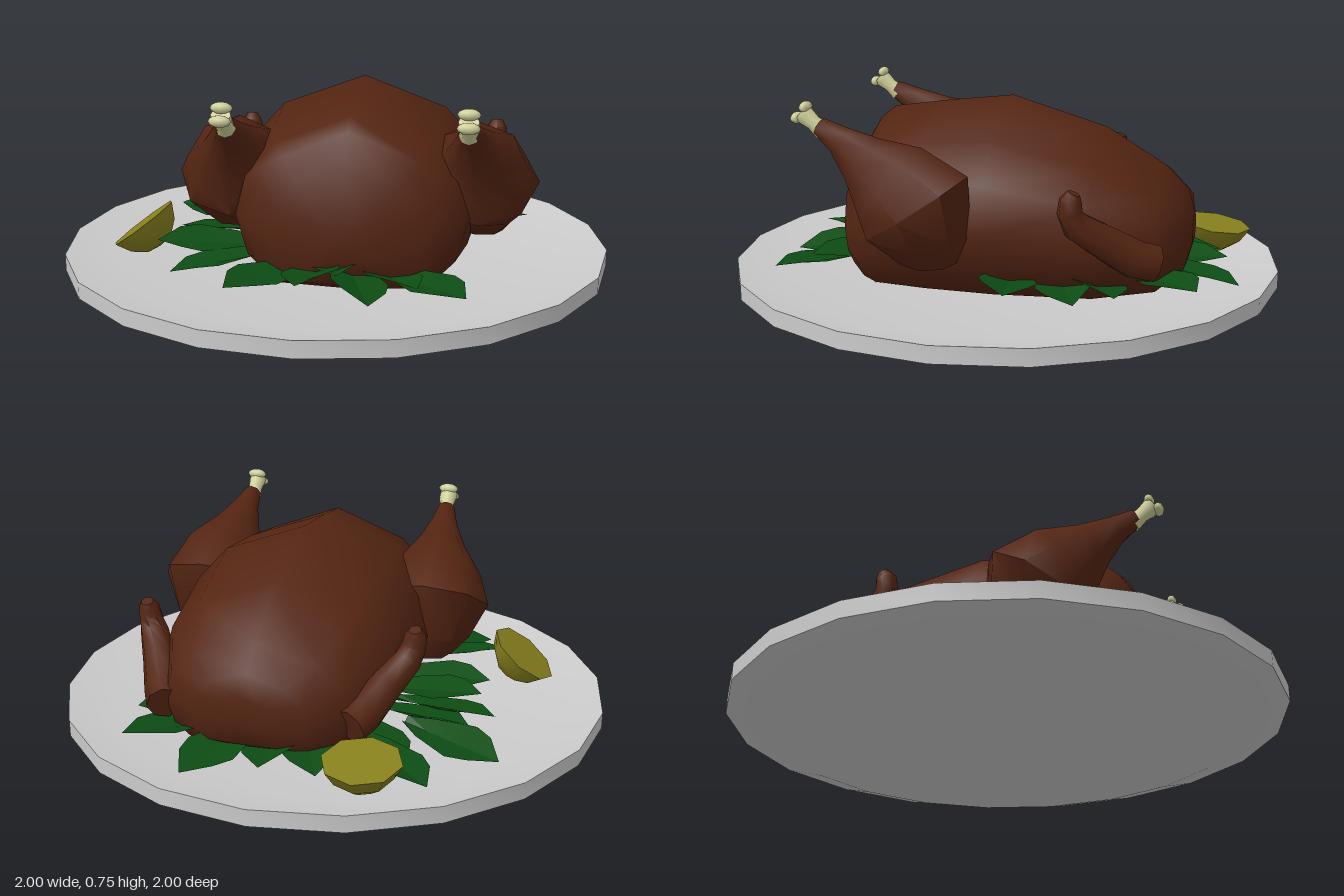
import * as THREE from 'three';
import { toCreasedNormals } from 'three/addons/utils/BufferGeometryUtils.js';

const V = (x, y, z) => new THREE.Vector3(x, y, z);
const mat = (color, side = THREE.FrontSide) => new THREE.MeshStandardMaterial({ color, side });
const plateMat = mat(0xcccccc), meat = mat(0x542512), bone = mat(0xd0d09a);
const lemonMat = mat(0x88811e), leafMat = mat(0x0d4c14, THREE.DoubleSide);
const CX = 0.1; // the bird sits a little off the plate's centre

function add(parent, name, geometry, material) {
  const mesh = new THREE.Mesh(geometry, material);
  mesh.name = name;
  parent.add(mesh);
  return mesh;
}

// Skin closed rings of points (counter-clockwise about the direction of travel), capped at both ends
function loft(rings) {
  const n = rings[0].length, pos = [], idx = [];
  rings.forEach(r => r.forEach(p => pos.push(p.x, p.y, p.z)));
  const ends = [rings[0], rings[rings.length - 1]];
  ends.forEach(r => {
    const c = r.reduce((a, p) => a.add(p), V(0, 0, 0)).divideScalar(n);
    pos.push(c.x, c.y, c.z);
  });
  const first = rings.length * n, last = first + 1, base = first - n;
  for (let i = 0; i < n; i++) {
    const j = (i + 1) % n;
    for (let k = 0; k < rings.length - 1; k++) {
      const a = k * n + i, b = k * n + j;
      idx.push(a, b, a + n, b, b + n, a + n);
    }
    idx.push(first, j, i, last, base + i, base + j);
  }
  const g = new THREE.BufferGeometry();
  g.setAttribute('position', new THREE.Float32BufferAttribute(pos, 3));
  g.setIndex(idx);
  return toCreasedNormals(g, 0.9);
}

// Tapered limb through points with a radius at each
function limb(points, radii, sides = 8) {
  return loft(points.map((p, k) => {
    const t = points[Math.min(k + 1, points.length - 1)].clone()
      .sub(points[Math.max(k - 1, 0)]).normalize();
    const u = V(1, 0, 0).addScaledVector(t, -t.x).normalize();
    const v = t.clone().cross(u);
    return Array.from({ length: sides }, (_, i) => {
      const a = i / sides * Math.PI * 2;
      return p.clone().addScaledVector(u, radii[k] * Math.cos(a)).addScaledVector(v, radii[k] * Math.sin(a));
    });
  }));
}

function makeBody() {
  // z, half width, bottom, top
  const sections = [
    [-0.705, 0.06, 0.24, 0.34], [-0.685, 0.2, 0.16, 0.42], [-0.6, 0.33, 0.1, 0.505],
    [-0.39, 0.42, 0.075, 0.63], [-0.05, 0.455, 0.07, 0.73], [0.2, 0.44, 0.07, 0.7],
    [0.39, 0.4, 0.07, 0.672], [0.445, 0.35, 0.08, 0.63], [0.505, 0.26, 0.11, 0.53], [0.547, 0.06, 0.22, 0.34],
  ];
  const half = [[0.68, 0.02], [0.9, 0.17], [1, 0.4], [0.91, 0.64], [0.66, 0.83]];
  const outline = [[0, 0], ...half, [0, 1], ...half.map(([x, y]) => [-x, y]).reverse()];
  return loft(sections.map(([z, w, b, t]) => outline.map(([x, y]) => V(CX + x * w, b + y * (t - b), z))));
}

function makeLeg(s) {
  const leg = new THREE.Group();
  leg.name = s > 0 ? 'leftLeg' : 'rightLeg';
  // shin runs straight along a slanted axis, the thigh bends down below it: x, y, z, radius
  const profile = [[0.402, 0.665, 0.53, 0.033], [0.408, 0.622, 0.455, 0.053], [0.415, 0.56, 0.37, 0.095],
    [0.425, 0.482, 0.266, 0.168], [0.43, 0.41, 0.18, 0.212], [0.425, 0.295, 0.145, 0.155], [0.42, 0.225, 0.148, 0.1]];
  add(leg, 'drumstick', limb(profile.map(([x, y, z]) => V(CX + s * x, y, z)), profile.map(p => p[3])), meat);
  const shaft = [[0.645, 0.515], [0.675, 0.55], [0.695, 0.575], [0.708, 0.59]];
  add(leg, 'bone', limb(shaft.map(([y, z]) => V(CX + s * 0.4, y, z)), [0.034, 0.028, 0.034, 0.034]), bone);
  // forked knuckle
  for (const k of [-1, 1]) {
    const knob = add(leg, 'knuckle', new THREE.SphereGeometry(0.02, 8, 6), bone);
    knob.scale.x = 1.9;
    knob.position.set(CX + s * 0.4, 0.71 + 0.019 * k, 0.594 - 0.016 * k);
  }
  return leg;
}

function makeWing(s) {
  const path = [[0.325, 0.24, -0.61], [0.36, 0.265, -0.54], [0.41, 0.33, -0.45],
    [0.46, 0.39, -0.37], [0.48, 0.44, -0.35], [0.485, 0.48, -0.355], [0.485, 0.505, -0.365]];
  return limb(path.map(([x, y, z]) => V(CX + s * x, y, z)), [0.065, 0.068, 0.06, 0.052, 0.043, 0.038, 0.022]);
}

function makeLemon() {
  // half fruit, cut face towards +y
  const profile = [[0, -0.105], [0.055, -0.095], [0.105, -0.055], [0.136, 0], [0, 0]];
  return toCreasedNormals(new THREE.LatheGeometry(profile.map(p => new THREE.Vector2(...p)), 8), 0.85);
}

function makeLeaf() {
  // pointed leaf along +z, folded on its midrib, tip at the origin
  const half = [[0.02, -0.38], [0.065, -0.29], [0.1, -0.15], [0.075, -0.08]];
  const pos = [], idx = [];
  half.forEach(([w, z]) => pos.push(-w, 0.018, z, 0, 0, z, w, 0.018, z));
  pos.push(0, 0, 0);
  for (let k = 0; k < 3; k++) for (const c of [0, 1]) {
    const a = k * 3 + c;
    idx.push(a, a + 3, a + 1, a + 1, a + 3, a + 4);
  }
  idx.push(9, 12, 10, 10, 12, 11);
  const g = new THREE.BufferGeometry();
  g.setAttribute('position', new THREE.Float32BufferAttribute(pos, 3));
  g.setIndex(idx);
  return toCreasedNormals(g, 0.2);
}

export function createModel() {
  const model = new THREE.Group();
  model.name = 'roastBirdOnPlate';

  // Plate: 20-sided shallow dish
  const plate = [[0, 0], [0.84, 0], [1, 0.05], [1, 0.11], [0.84, 0.078], [0, 0.07]];
  add(model, 'plate', toCreasedNormals(
    new THREE.LatheGeometry(plate.map(p => new THREE.Vector2(...p)), 20), 0.6), plateMat);

  // Bird
  const bird = new THREE.Group();
  bird.name = 'bird';
  model.add(bird);
  add(bird, 'body', makeBody(), meat);
  for (const s of [-1, 1]) {
    bird.add(makeLeg(s));
    add(bird, s > 0 ? 'leftWing' : 'rightWing', makeWing(s), meat);
  }

  // Lemon halves: position and direction of the cut face
  const lemon = makeLemon();
  for (const [p, n] of [[[-0.305, 0.195, -0.745], [0, 0.99, -0.13]], [[-0.68, 0.215, 0.22], [-0.6, 0.8, 0]]]) {
    const half = add(model, 'lemonHalf', lemon, lemonMat);
    half.position.set(...p);
    half.quaternion.setFromUnitVectors(V(0, 1, 0), V(...n).normalize());
  }

  // Bed of leaves: tip x, tip z, pointing outwards from under the bird
  const tips = [[-0.71, -0.52], [-0.65, -0.24], [-0.58, -0.12], [-0.52, -0.75], [-0.58, 0.06], [-0.6, 0.32],
    [-0.51, 0.51], [-0.28, 0.71], [-0.04, 0.73], [0.2, 0.75], [0.51, 0.71], [0.71, -0.16], [0.61, -0.37],
    [0.58, -0.5], [0.52, -0.76], [0.27, -0.88], [0.02, -0.82], [-0.58, -0.38], [-0.16, -0.78],
    [0.35, 0.64], [0.08, 0.62], [-0.42, -0.58]];
  const leaf = makeLeaf();
  tips.forEach(([x, z], i) => {
    const m = add(model, 'leaf', leaf, leafMat);
    m.position.set(x, 0.135 + 0.025 * (i % 3), z);
    m.rotation.order = 'YXZ';
    m.rotation.set([0.08, -0.05, -0.1][i % 3], Math.atan2(x - 0.05, z * 0.6), [0.15, -0.2, 0.05, -0.1][i % 4]);
  });
  return model;
}
